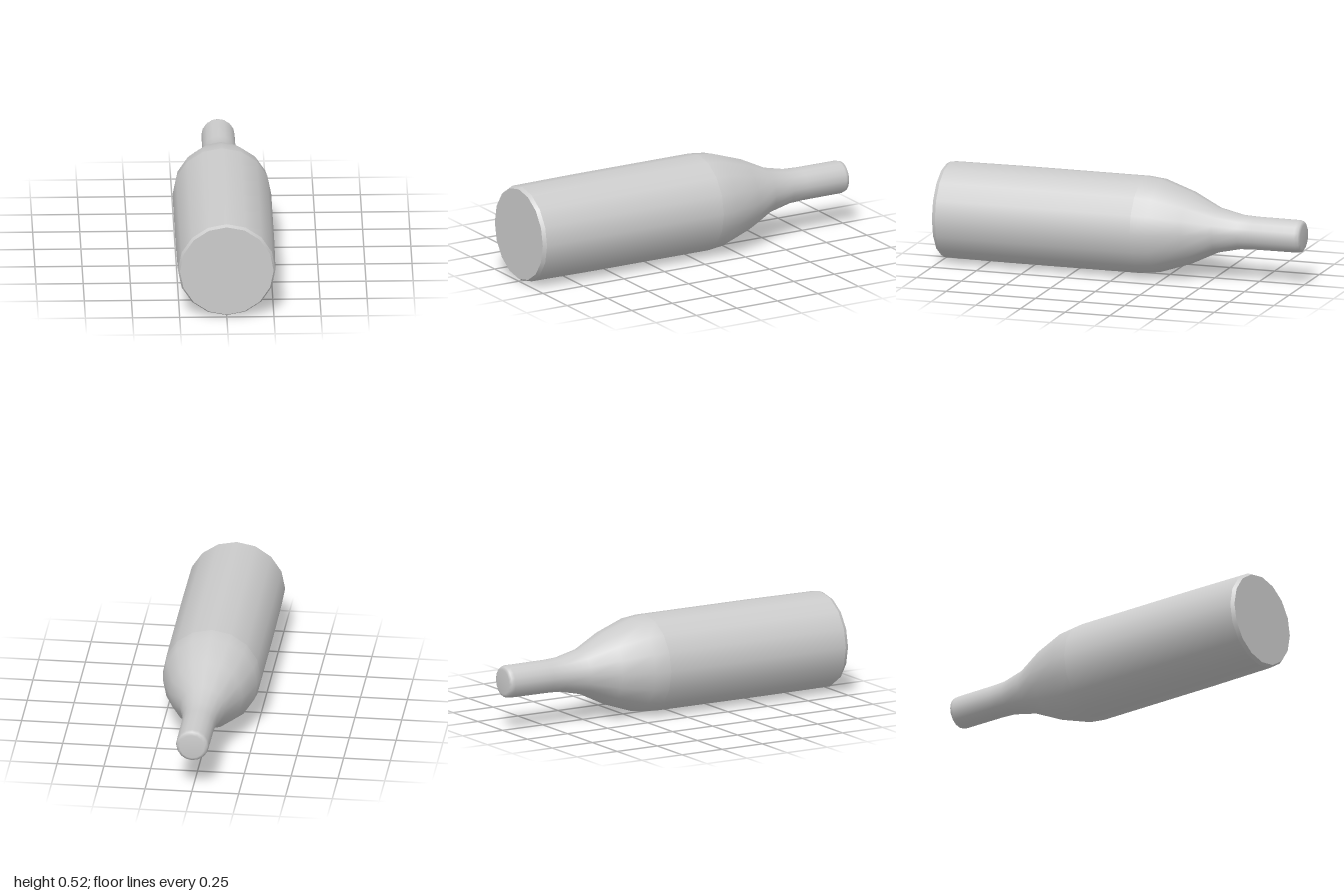
import * as THREE from 'three';

const SIDES = 16;
const AXIS_HEIGHT = 0.263;

// Revolves [radius, z] pairs, listed back to front, about the z axis.
function revolve(name, profile, material) {
  const points = profile.map(([r, z]) => new THREE.Vector2(r, z));
  const geometry = new THREE.LatheGeometry(points, SIDES);
  geometry.rotateX(Math.PI / 2);
  const mesh = new THREE.Mesh(geometry, material);
  mesh.name = name;
  return mesh;
}

export function createModel() {
  const material = new THREE.MeshStandardMaterial({ color: 0xcccccc });
  const bottle = new THREE.Group();
  bottle.name = 'bottle';

  const lying = new THREE.Group();
  lying.name = 'lyingBottle';
  lying.position.y = AXIS_HEIGHT;
  bottle.add(lying);

  // Rounded mouth, straight neck and curved shoulder
  lying.add(revolve('neckAndShoulder', [
    [0, -1], [0.066, -1], [0.082, -0.991], [0.088, -0.972],
    [0.089, -0.73], [0.093, -0.65], [0.122, -0.52],
    [0.195, -0.37], [0.252, -0.2], [0.262, -0.11],
  ], material));

  // Long body, tapering very slightly toward the base
  lying.add(revolve('body', [
    [0.262, -0.11], [0.262, 0.6], [0.259, 0.98],
  ], material));

  // Narrow bevel around the base
  lying.add(revolve('baseBevel', [[0.259, 0.98], [0.2485, 1]], material));

  // Flat base
  lying.add(revolve('base', [[0.2485, 1], [0, 1]], material));

  return bottle;
}
